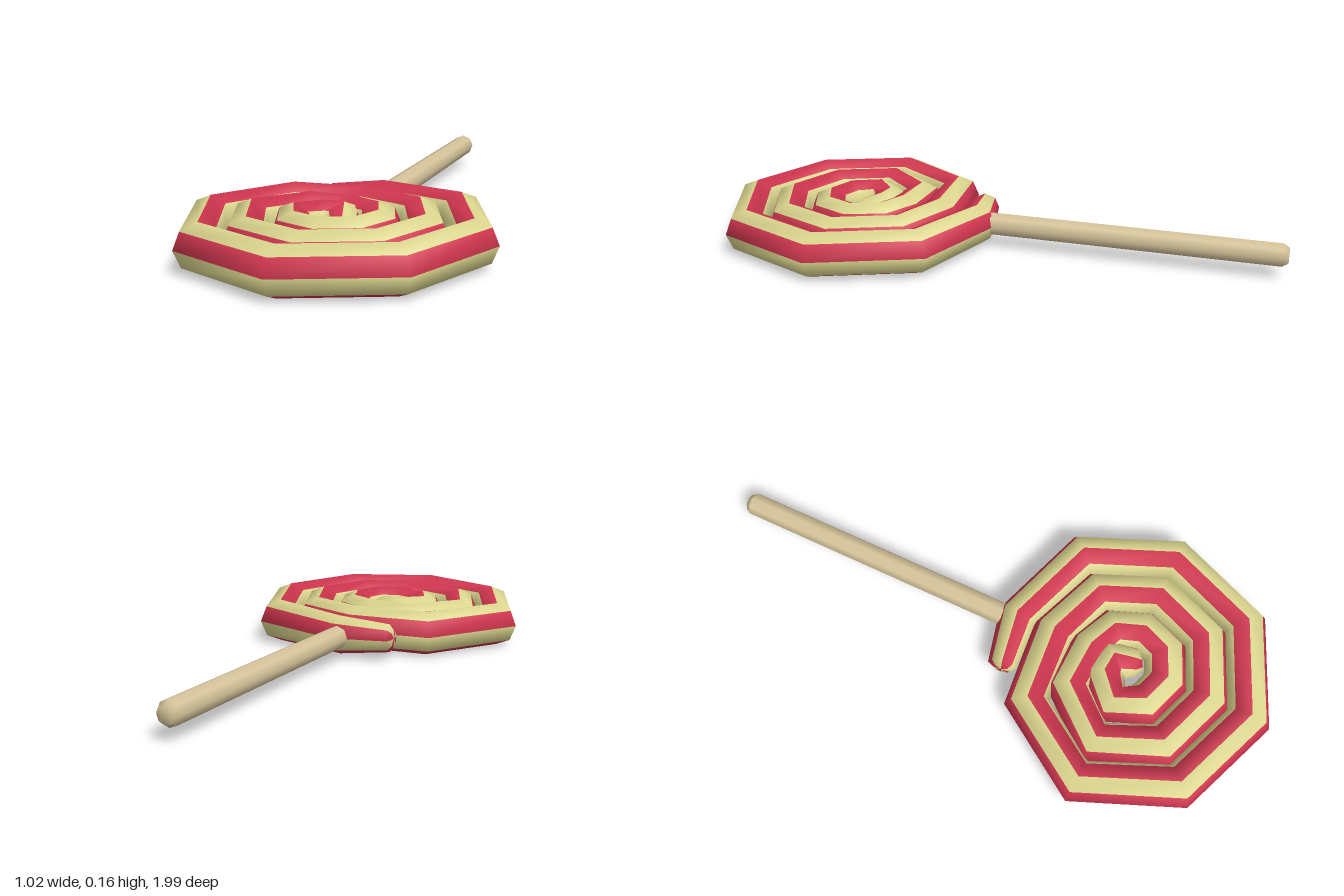
import * as THREE from 'three';

const CENTRE_Z = 0.48, MID_Y = 0.0775, TUBE = 0.0775, SIDES = 8;

// Coiled candy rope: octagonal section swept along an eight-cornered spiral
function candyGeometry() {
  // Distance from the spiral centre at each 45 degree corner, starting at the back
  const radii = [
    0.42, 0.435, 0.435, 0.435, 0.435, 0.435, 0.435, 0.37,
    0.28, 0.285, 0.285, 0.285, 0.285, 0.29, 0.29, 0.22,
    0.145, 0.14, 0.135, 0.135, 0.135, 0.14, 0.145, 0.095, 0.06,
  ];
  // Each station is [x, z, section radius]
  const path = [[-0.195, 0.09, 0], [-0.194, 0.09, 0.03], [-0.18, 0.087, 0.05]];
  radii.forEach((r, i) => {
    const a = -Math.PI / 2 + i * Math.PI / 4;
    path.push([r * Math.cos(a), CENTRE_Z + r * Math.sin(a), i === 0 ? 0.069 : TUBE]);
  });
  path.push([0.025, 0.5, 0.05], [0.03, 0.515, 0.03], [0.031, 0.516, 0]);

  const positions = [];
  path.forEach(([x, z, r], i) => {
    const here = new THREE.Vector2(x, z);
    const tangent = new THREE.Vector2();
    for (const [from, to] of [[i - 1, i], [i, i + 1]]) {
      if (!path[from] || !path[to]) continue;
      tangent.add(new THREE.Vector2(path[to][0] - path[from][0], path[to][1] - path[from][1]).normalize());
    }
    tangent.normalize();
    for (let j = 0; j < SIDES; j++) {
      const a = j * 2 * Math.PI / SIDES;
      const out = r * Math.cos(a);
      positions.push(here.x + tangent.y * out, MID_Y + r * Math.sin(a), here.y - tangent.x * out);
    }
  });

  // Lengthwise stripes: the faces of the section alternate in colour
  const index = [];
  const geometry = new THREE.BufferGeometry();
  for (let colour = 0; colour < 2; colour++) {
    const start = index.length;
    for (let i = 0; i < path.length - 1; i++) {
      for (let j = colour; j < SIDES; j += 2) {
        const a = i * SIDES + j, b = i * SIDES + (j + 1) % SIDES;
        index.push(a, b, a + SIDES, b, b + SIDES, a + SIDES);
      }
    }
    geometry.addGroup(start, index.length - start, colour);
  }
  geometry.setAttribute('position', new THREE.Float32BufferAttribute(positions, 3));
  geometry.setIndex(index);
  geometry.computeVertexNormals();
  return geometry;
}

function material(name, color) {
  const m = new THREE.MeshStandardMaterial({ color });
  m.name = name;
  return m;
}

export function createModel() {
  const red = material('candy red', 0xd0364f);
  const cream = material('candy cream', 0xded890);
  const wood = material('stick beige', 0xd6c49a);

  const group = new THREE.Group();
  group.name = 'lollipop';

  const candy = new THREE.Mesh(candyGeometry(), [red, cream]);
  candy.name = 'candySpiral';
  group.add(candy);

  // Stick with bevelled ends, lying along z
  const profile = [[0, 0], [0.028, 0], [0.041, 0.02], [0.041, 1.01], [0.028, 1.03], [0, 1.03]]
    .map(([r, h]) => new THREE.Vector2(r, h));
  const stick = new THREE.Mesh(new THREE.LatheGeometry(profile, 8), wood);
  stick.name = 'stick';
  stick.rotation.x = Math.PI / 2;
  stick.position.set(-0.012, 0.079, -1);
  group.add(stick);

  return group;
}
